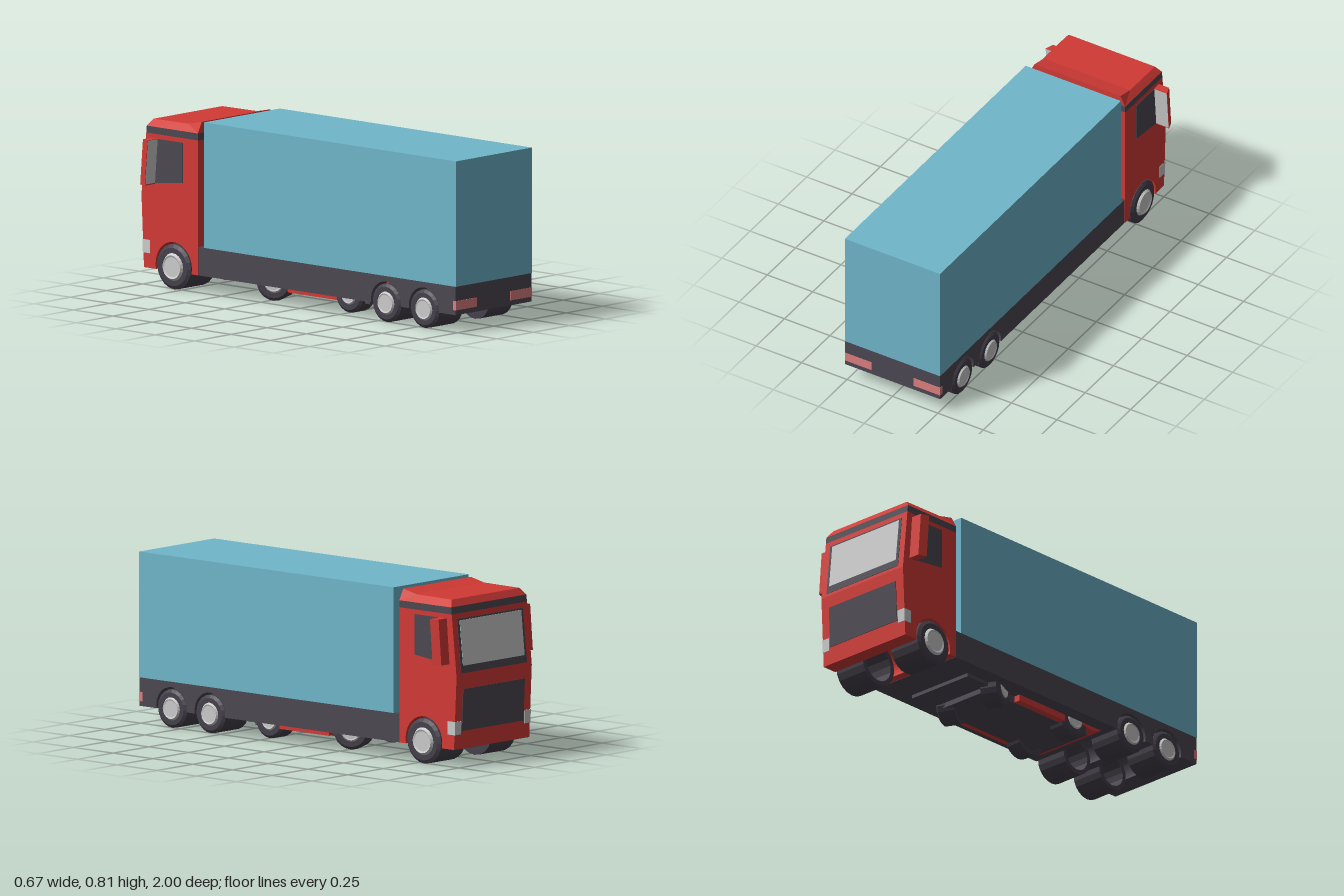
import * as THREE from 'three';

const mat = (color, side = THREE.FrontSide) =>
  new THREE.MeshStandardMaterial({ color, flatShading: true, side });

export function createModel() {
  const truck = new THREE.Group();
  const red = mat(0xd23a35), dark = mat(0x4d4852), blue = mat(0x70b6cb);
  const tyreMat = mat(0x45414b, THREE.DoubleSide), grey = mat(0xcccccc), pink = mat(0xde7f7f);

  const add = (name, geometry, material, parent = truck) => {
    const mesh = new THREE.Mesh(geometry, material);
    mesh.name = name;
    parent.add(mesh);
    return mesh;
  };
  const box = (name, material, x0, x1, y0, y1, z0, z1) =>
    add(name, new THREE.BoxGeometry(x1 - x0, y1 - y0, z1 - z0)
      .translate((x0 + x1) / 2, (y0 + y1) / 2, (z0 + z1) / 2), material);

  // Side outline in (z, y), extruded across x and centred on x = cx
  const extrudeX = (shape, width, cx = 0) =>
    new THREE.ExtrudeGeometry(shape, { depth: width, bevelEnabled: false, curveSegments: 14 })
      .translate(0, 0, -width / 2).rotateY(-Math.PI / 2).translate(cx, 0, 0);
  const outline = pts => new THREE.Shape(pts.map(p => new THREE.Vector2(...p)));

  // Outline with round wheel openings along its bottom edge
  const archedOutline = (z0, z1, bottom, arches, rest) => {
    const s = new THREE.Shape();
    s.moveTo(z0, bottom);
    for (const [zc, yc, r] of arches) {
      const a = Math.asin((bottom - yc) / r);
      s.lineTo(zc - r * Math.cos(a), bottom);
      s.absarc(zc, yc, r, Math.PI - a, a, true);
    }
    s.lineTo(z1, bottom);
    rest.forEach(p => s.lineTo(...p));
    s.closePath();
    return s;
  };

  // Cargo box and chassis skirt
  box('cargoBox', blue, -0.262, 0.262, 0.22, 0.815, -0.6, 1);
  add('chassisSkirt', extrudeX(archedOutline(-0.635, 0.998, 0.085,
    [[0.556, 0.098, 0.096], [0.797, 0.098, 0.096]], [[0.998, 0.22], [-0.635, 0.22]]), 0.523), dark);
  for (const s of [-1, 1]) {
    const a = s * 0.115, b = s * 0.262;
    box('tailLight', pink, Math.min(a, b), Math.max(a, b), 0.108, 0.152, 0.98, 1);
  }

  // Cab: z of the nose at a given height
  const nose = y => y < 0.43 ? -0.98 - 0.016 * (y - 0.085) / 0.345 : -0.996 + 0.034 * (y - 0.43) / 0.33;
  add('cabBody', extrudeX(archedOutline(nose(0.085), -0.637, 0.085, [[-0.791, 0.11, 0.115]],
    [[-0.637, 0.725], [nose(0.725), 0.725], [nose(0.43), 0.43]]), 0.526), red);
  add('cabBand', extrudeX(outline([[nose(0.725), 0.725], [-0.637, 0.725], [-0.637, 0.758],
    [nose(0.758), 0.758]]), 0.526), dark);
  const roof = extrudeX(outline([[nose(0.758), 0.758], [-0.637, 0.758], [-0.637, 0.81],
    [-0.72, 0.792], [-0.942, 0.79]]), 0.526);
  const rp = roof.attributes.position;
  for (let i = 0; i < rp.count; i++) if (rp.getY(i) > 0.77) rp.setX(i, rp.getX(i) * 0.9);
  roof.computeVertexNormals();
  add('cabRoof', roof, red);

  // Panels lying on the sloping nose
  const nosePanel = (name, y0, y1, width, lift, material) =>
    add(name, extrudeX(outline([[nose(y0) - lift, y0], [nose(y0) + 0.01, y0],
      [nose(y1) + 0.01, y1], [nose(y1) - lift, y1]]), width), material);
  nosePanel('windscreenFrame', 0.445, 0.7, 0.46, 0.002, dark);
  nosePanel('windscreen', 0.48, 0.692, 0.43, 0.004, grey);
  nosePanel('grille', 0.17, 0.37, 0.43, 0.003, dark);

  for (const s of [-1, 1]) {
    // Headlights wrapping round the corners
    add('headlight', extrudeX(outline([[nose(0.155) - 0.003, 0.155], [-0.942, 0.155],
      [-0.942, 0.218], [nose(0.218) - 0.003, 0.218]]), 0.043, s * 0.243), grey);
    // Side windows
    add('sideWindow', extrudeX(outline([[-0.908, 0.492], [-0.732, 0.512], [-0.732, 0.703],
      [-0.895, 0.703]]), 0.01, s * 0.26), dark);
    // Wing mirrors, tapering outward at the front and leaning with the nose
    const g = new THREE.BoxGeometry(0.074, 0.216, 0.042);
    const p = g.attributes.position;
    for (let i = 0; i < p.count; i++) {
      if (p.getZ(i) < 0 && p.getX(i) * s > 0) p.setX(i, p.getX(i) - s * 0.014);
      p.setZ(i, p.getZ(i) + p.getY(i) * 0.08);
    }
    g.computeVertexNormals();
    const mirror = new THREE.Group();
    mirror.name = 'wingMirror';
    mirror.position.set(s * 0.297, 0.596, -0.922);
    truck.add(mirror);
    add('mirrorHousing', g, red, mirror);
    add('mirrorGlass', new THREE.PlaneGeometry(0.072, 0.21).rotateX(0.08)
      .translate(0, 0.002, 0.0225), grey, mirror);
  }

  // Wheels: hollow tyre open on the inside, domed hub on the outside
  const wheel = (name, s, z, r, hubR, inner, outer, bulge, steer = 0) => {
    const w = outer - inner;
    const group = new THREE.Group();
    group.name = name;
    const lathe = pts => new THREE.LatheGeometry(pts.map(q => new THREE.Vector2(...q)), 20)
      .rotateZ(-Math.PI / 2);
    add('tyre', lathe([[r * 0.78, -w / 2], [r, -w / 2], [r, w / 2 - 0.01],
      [r * 0.85, w / 2], [hubR, w / 2], [hubR, w / 2 - 0.03]]), tyreMat, group);
    add('hub', lathe([[hubR, w / 2 - 0.004], [hubR * 0.85, w / 2 + bulge],
      [hubR * 0.72, w / 2 + bulge * 0.6], [0, w / 2 + bulge * 0.6]]), grey, group);
    group.rotation.y = (s < 0 ? Math.PI : 0) + steer;
    group.position.set(s * (inner + outer) / 2, r + 0.001, z);
    truck.add(group);
  };
  for (const s of [-1, 1]) {
    wheel('cabWheel', s, -0.791, 0.107, 0.066, 0.09, 0.27, 0.01);
    wheel('rearWheel', s, 0.556, 0.091, 0.055, 0.09, 0.264, 0.007);
    wheel('rearWheel', s, 0.797, 0.091, 0.055, 0.09, 0.264, 0.007);
    // Wheels of the car carried low inside the trailer
    wheel('innerCarRearWheel', s, 0.25, 0.088, 0.05, 0.1, 0.19, 0.004);
    wheel('innerCarFrontWheel', s, -0.245, 0.088, 0.05, 0.1, 0.19, 0.004, 0.4);
  }

  // Underside of the inner car
  add('innerCarBody', extrudeX(outline([[-0.13, 0.054], [0.18, 0.054], [0.18, 0.09],
    [0.37, 0.066], [0.47, 0.1], [0.53, 0.185], [0.2, 0.2], [-0.13, 0.2]]), 0.384), red);
  box('innerCarFloor', dark, -0.16, 0.16, 0.05, 0.1, -0.32, 0.36);
  box('innerCarNose', dark, -0.18, 0.18, 0.068, 0.1, -0.47, -0.33);
  return truck;
}
